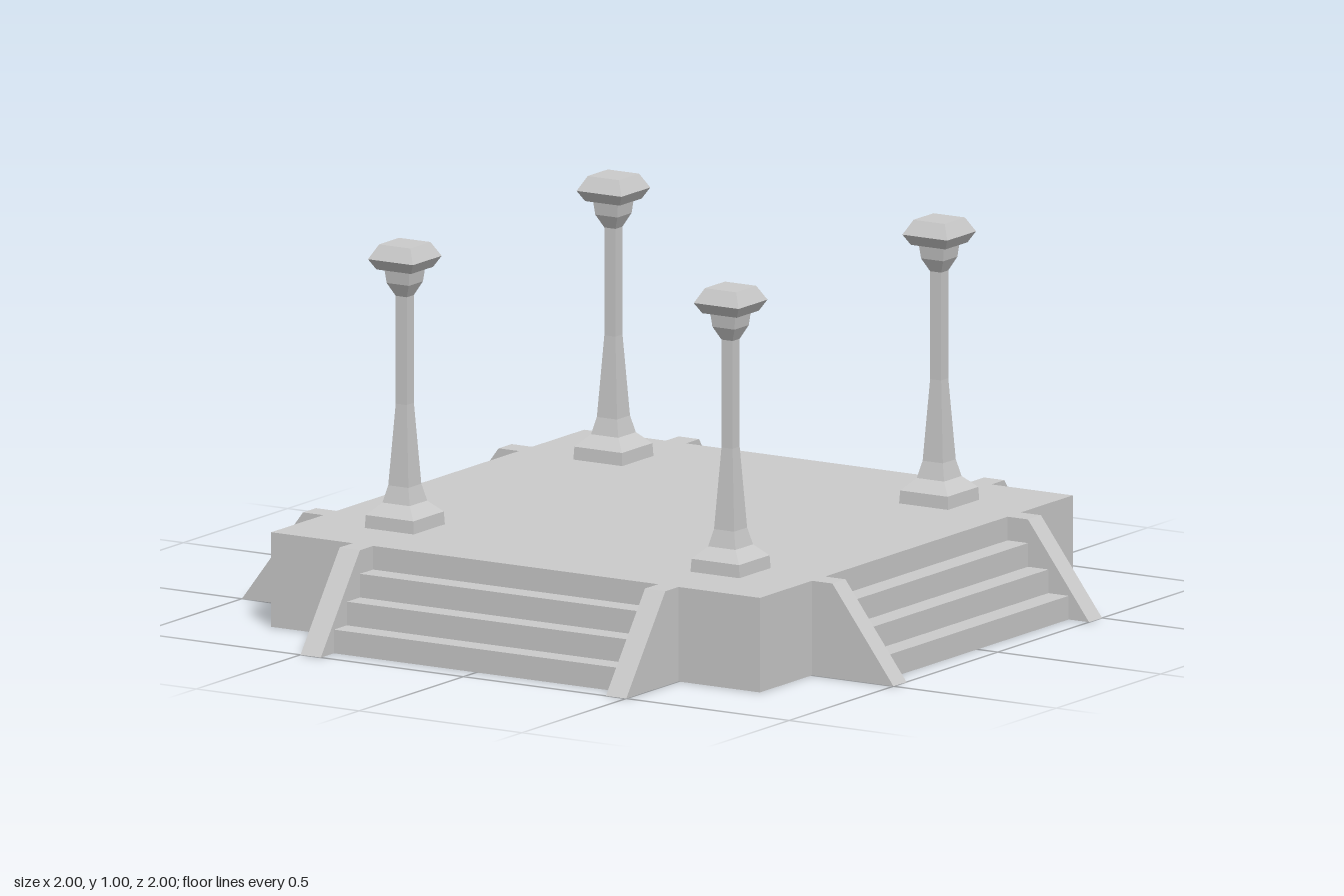
import * as THREE from 'three';

const material = new THREE.MeshStandardMaterial({ color: 0xcccccc, flatShading: true });
const openMaterial = new THREE.MeshStandardMaterial({ color: 0xcccccc, flatShading: true, side: THREE.DoubleSide });

function addMesh(parent, name, geometry, mat = material) {
  const mesh = new THREE.Mesh(geometry, mat);
  mesh.name = name;
  parent.add(mesh);
  return mesh;
}

// Sweeps a (z, y) polyline across x, giving a folded open sheet.
function foldedSheet(profile, x0, x1) {
  const positions = [];
  for (let i = 0; i < profile.length - 1; i++) {
    const [z0, y0] = profile[i];
    const [z1, y1] = profile[i + 1];
    positions.push(x0, y0, z0, x0, y1, z1, x1, y0, z0);
    positions.push(x1, y0, z0, x0, y1, z1, x1, y1, z1);
  }
  const geometry = new THREE.BufferGeometry();
  geometry.setAttribute('position', new THREE.Float32BufferAttribute(positions, 3));
  geometry.computeVertexNormals();
  return geometry;
}

const HEIGHT = 0.25, HALF = 0.75, STEP = 0.0625;
const WALL_INNER = 0.4375, WALL_OUTER = 0.5;

// Three hollow steps between two sloping side walls
function createStaircase() {
  const stairs = new THREE.Group();
  stairs.name = 'staircase';

  const steps = [[HALF, HEIGHT - STEP]];
  for (let i = 1; i <= 3; i++) {
    const z = HALF + i * STEP;
    steps.push([z, HEIGHT - i * STEP], [z, HEIGHT - (i + 1) * STEP]);
  }
  addMesh(stairs, 'steps', foldedSheet(steps, -WALL_INNER, WALL_INNER), openMaterial);

  const slope = [[HALF, HEIGHT], [HALF + STEP, HEIGHT], [1, 0]];
  const side = new THREE.Shape([...slope, [HALF, 0]].map(([z, y]) => new THREE.Vector2(z, y)));
  for (const s of [-1, 1]) {
    const wall = new THREE.Group();
    wall.name = s > 0 ? 'leftSideWall' : 'rightSideWall';
    const edges = [s * WALL_INNER, s * WALL_OUTER].sort((a, b) => a - b);
    addMesh(wall, 'wallCoping', foldedSheet(slope, edges[0], edges[1]), openMaterial);
    edges.forEach((x, i) => {
      const face = new THREE.ShapeGeometry(side);
      face.rotateY(-Math.PI / 2);
      // The +x face is mirrored so that it points outward
      if (i === 1) face.setIndex([...face.index.array].reverse());
      face.computeVertexNormals();
      face.translate(x, 0, 0);
      addMesh(wall, 'wallFace', face, openMaterial);
    });
    stairs.add(wall);
  }
  return stairs;
}

// Square pillar: half widths and heights from plinth to cap
function createPillarGeometry() {
  const profile = [
    [0.075, 0.25], [0.073, 0.284], [0.042, 0.315], [0.031, 0.36],
    [0.017, 0.575], [0.017, 0.86], [0.034, 0.895], [0.038, 0.93],
    [0.053, 0.932], [0.069, 0.96], [0.048, 0.998], [0, 0.998],
  ];
  const points = profile.map(([w, y]) => new THREE.Vector2(w * Math.SQRT2, y));
  const geometry = new THREE.LatheGeometry(points, 4, Math.PI / 4).toNonIndexed();
  geometry.computeVertexNormals();
  return geometry;
}

export function createModel() {
  const model = new THREE.Group();
  model.name = 'pillaredPlatform';

  // Main block
  const platform = new THREE.BoxGeometry(2 * HALF, HEIGHT, 2 * HALF);
  platform.translate(0, HEIGHT / 2, 0);
  addMesh(model, 'platform', platform);

  // One staircase on each side
  ['front', 'left', 'back', 'right'].forEach((name, i) => {
    const stairs = createStaircase();
    stairs.name = `${name}Staircase`;
    stairs.rotation.y = i * Math.PI / 2;
    model.add(stairs);
  });

  // Four corner pillars
  const pillarGeometry = createPillarGeometry();
  for (const x of [-0.5, 0.5]) {
    for (const z of [-0.5, 0.5]) {
      const name = (z > 0 ? 'front' : 'back') + (x > 0 ? 'Left' : 'Right') + 'Pillar';
      addMesh(model, name, pillarGeometry).position.set(x, 0, z);
    }
  }
  return model;
}
